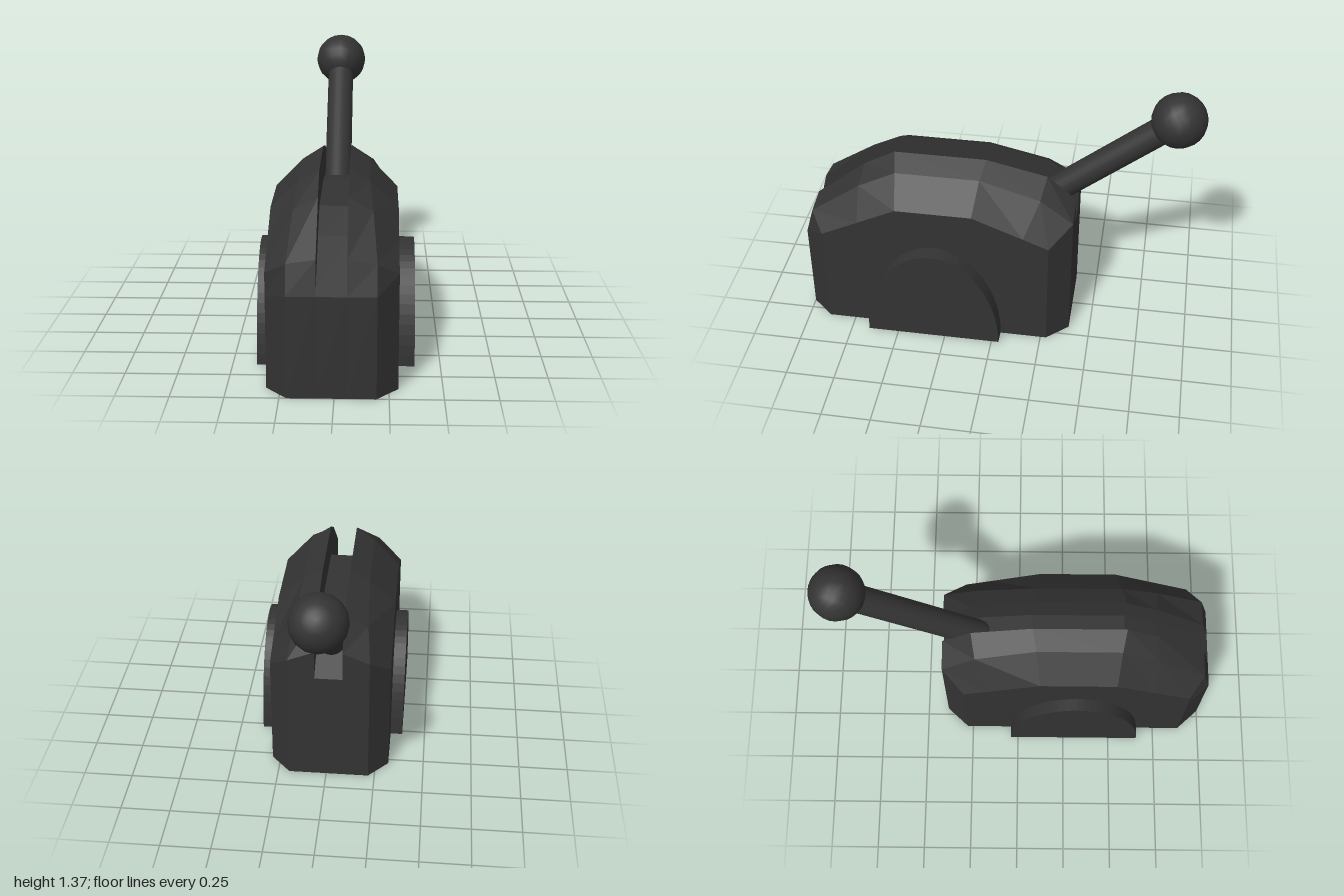
import * as THREE from 'three';

export function createModel() {
  const model = new THREE.Group();
  const flat = new THREE.MeshStandardMaterial({ color: 0x333333, flatShading: true });
  const smooth = new THREE.MeshStandardMaterial({ color: 0x333333 });
  const cx = -0.012; // shared centre line

  const add = (name, geometry, material) => {
    const mesh = new THREE.Mesh(geometry, material);
    mesh.name = name;
    model.add(mesh);
    return mesh;
  };

  // Housing rails: [x, z, y] stations running front bottom -> top -> back bottom
  const rail = (x, pts) => pts.map(([z, y, w = x]) => [w, y, z]);
  const outer = rail(0.305, [[0.89, 0], [0.89, 0.45], [0.89, 0.56], [0.7, 0.655], [0.5, 0.755],
    [0.11, 0.755], [-0.15, 0.652], [-0.28, 0.6], [-0.28, 0.5], [-0.28, 0]]);
  const mid = rail(0.205, [[1, 0], [1, 0.49], [0.96, 0.63], [0.71, 0.8, 0.185], [0.52, 0.89, 0.17],
    [0.09, 0.89, 0.17], [-0.22, 0.81, 0.185], [-0.39, 0.7], [-0.39, 0.55], [-0.39, 0]]);
  const inner = rail(0.07, [[1, 0], [1, 0.49], [0.96, 0.65], [0.7, 0.86], [0.54, 0.95],
    [0.07, 0.95], [-0.24, 0.88], [-0.39, 0.755], [-0.39, 0.58], [-0.39, 0]]);
  const floor = rail(0.07, [[1, 0], [1, 0.49], [0.96, 0.515], [0.7, 0.68], [0.54, 0.775],
    [0.07, 0.775], [-0.2, 0.73], [-0.39, 0.6], [-0.39, 0.58], [-0.39, 0]]);
  const hub = outer.map(() => [0.305, 0.2, 0.31]); // middle of the flat side
  const half = [hub, outer, mid, inner, floor];
  const mirrored = half.map(r => r.map(([x, y, z]) => [-x, y, z])).reverse();
  const rails = [...half, ...mirrored];

  const n = outer.length;
  const positions = rails.flat(2);
  const index = [];
  for (let r = 0; r < rails.length - 1; r++) {
    for (let s = 0; s < n; s++) {
      const t = (s + 1) % n;
      const a = r * n + s, b = r * n + t, c = a + n, d = b + n;
      index.push(a, b, c, b, d, c);
    }
  }
  const housing = new THREE.BufferGeometry();
  housing.setAttribute('position', new THREE.Float32BufferAttribute(positions, 3));
  housing.setIndex(index);
  housing.computeVertexNormals();
  add('housing', housing, flat).position.x = cx;

  // Half-elliptical bosses on both sides
  const arch = new THREE.Shape();
  arch.absellipse(0, 0, 0.347, 0.53, 0, Math.PI, false, 0);
  arch.closePath();
  for (const [name, x] of [['leftBoss', 0.275], ['rightBoss', -0.38]]) {
    const geometry = new THREE.ExtrudeGeometry(arch, { depth: 0.1, bevelEnabled: false, curveSegments: 16 });
    geometry.rotateY(Math.PI / 2);
    add(name, geometry, smooth).position.set(x, 0.01, 0.308);
  }

  // Lever leaning back out of the slot, with a ball knob
  const foot = new THREE.Vector3(-0.015, 0.612, -0.1);
  const tip = new THREE.Vector3(-0.015, 1.235, -0.863);
  const direction = tip.clone().sub(foot);
  const lever = add('lever', new THREE.CylinderGeometry(0.069, 0.069, direction.length(), 24), smooth);
  lever.position.copy(foot).add(tip).multiplyScalar(0.5);
  lever.quaternion.setFromUnitVectors(new THREE.Vector3(0, 1, 0), direction.normalize());

  const knob = add('knob', new THREE.SphereGeometry(0.137, 16, 12), smooth);
  knob.position.copy(tip);
  knob.quaternion.copy(lever.quaternion);

  return model;
}
